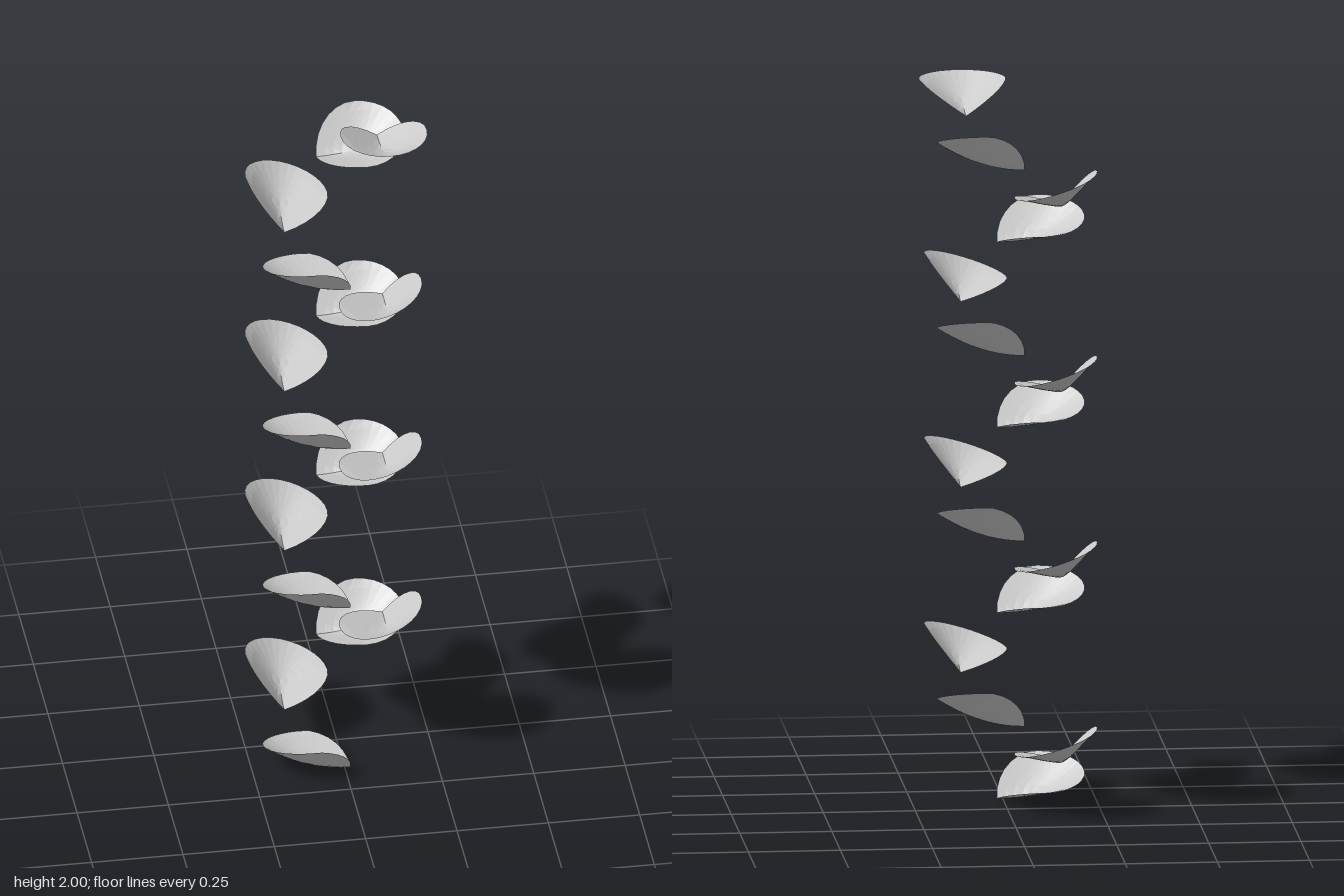
import * as THREE from 'three';

const COUNT = 16, RISE = 0.128, RADIUS = 0.118, DEPTH = 0.08;
const ROLL = THREE.MathUtils.degToRad(17.5);

// Round cupped leaf: pointed spout at the origin, opening out along +z
function leafGeometry() {
  const geo = new THREE.RingGeometry(0, RADIUS, 28, 5);
  geo.rotateX(-Math.PI / 2);
  geo.translate(0, 0, RADIUS);
  const p = geo.attributes.position;
  for (let i = 0; i < p.count; i++) {
    const side = Math.abs(p.getX(i)) / RADIUS;
    const along = p.getZ(i) / (2 * RADIUS);
    // V-shaped near the spout, rounding into a bowl further out
    p.setY(i, DEPTH * Math.min(1, Math.hypot(side, along * along)));
  }
  geo.computeVertexNormals();
  return geo;
}

export function createModel() {
  const model = new THREE.Group();
  model.name = 'spiralLeaves';
  const material = new THREE.MeshStandardMaterial({
    color: 0xcccccc, flatShading: true, side: THREE.DoubleSide,
  });
  const geometry = leafGeometry();

  // Leaves climb a square spiral, a quarter turn per step
  for (let i = 0; i < COUNT; i++) {
    const top = i === COUNT - 1;
    const step = new THREE.Group();
    step.name = `leafStep${i + 1}`;
    step.position.set(-0.009, i * RISE, 0.002);
    step.rotation.y = -(i - 3) * Math.PI / 2;

    const leaf = new THREE.Mesh(geometry, material);
    leaf.name = top ? 'topLeaf' : 'leaf';
    // The top leaf lies level; the others tip towards the axis
    leaf.position.set(top ? 0.123 : 0.138, 0, -0.025);
    leaf.rotation.z = top ? 0 : ROLL;
    step.add(leaf);
    model.add(step);
  }
  return model;
}
